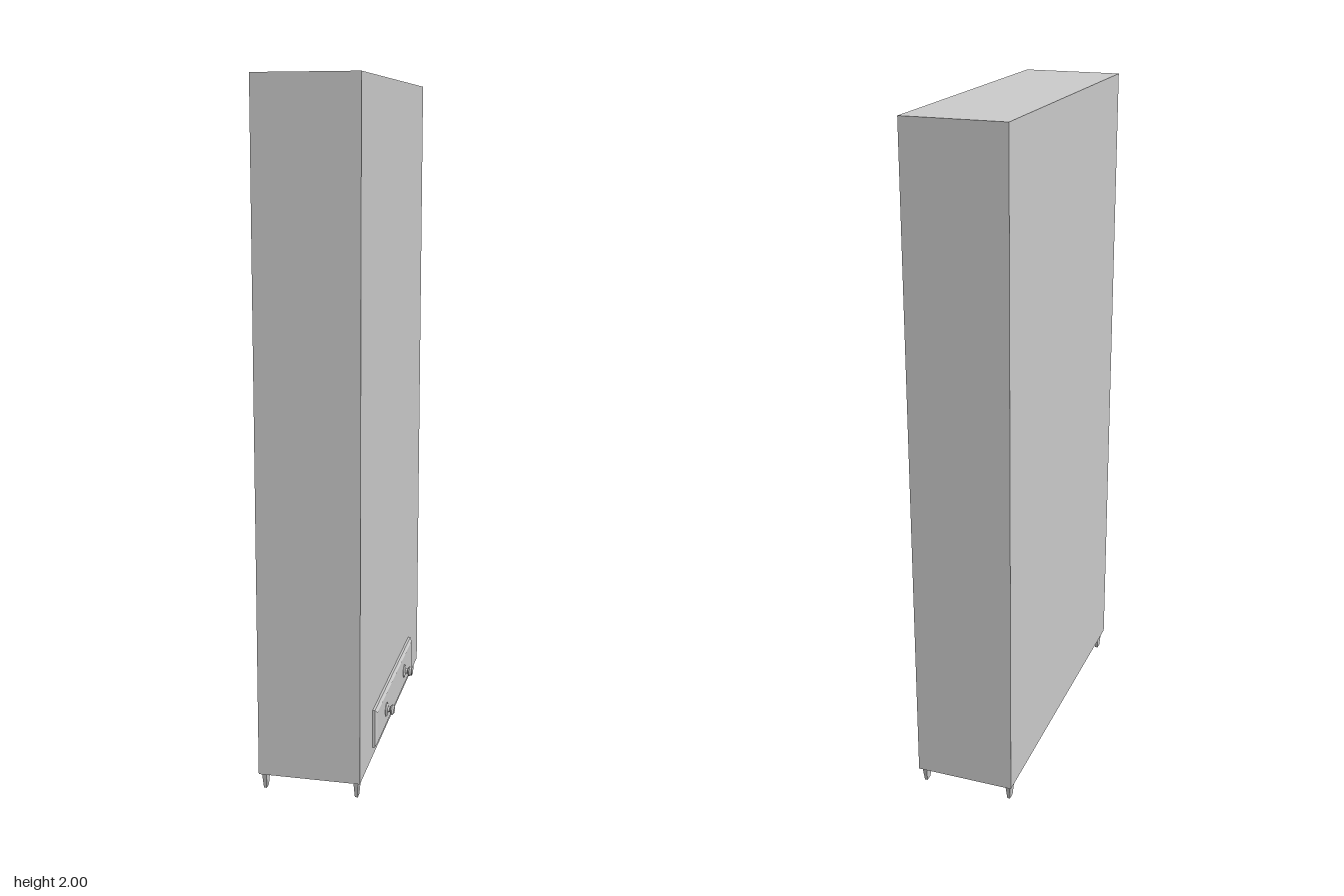
import * as THREE from 'three';

const W = 0.972, D = 0.296, LEG = 0.05, TOP = 2;

// Box whose +y (top) or +z (front) end is scaled to make a taper
function taperedBox(w, h, d, axis, taper) {
  const g = new THREE.BoxGeometry(w, h, d);
  const p = g.attributes.position;
  for (let i = 0; i < p.count; i++) {
    if (axis === 'y' && p.getY(i) < 0) {
      p.setX(i, p.getX(i) * taper[0]);
      p.setZ(i, p.getZ(i) * taper[1]);
    } else if (axis === 'z' && p.getZ(i) > 0) {
      p.setX(i, p.getX(i) * taper[0]);
      p.setY(i, p.getY(i) * taper[1]);
    }
  }
  g.computeVertexNormals();
  return g;
}

export function createModel() {
  const model = new THREE.Group();
  model.name = 'cabinet';
  const material = new THREE.MeshStandardMaterial({ color: 0xcccccc, flatShading: true });
  const add = (name, geometry, x, y, z) => {
    const mesh = new THREE.Mesh(geometry, material);
    mesh.name = name;
    mesh.position.set(x, y, z);
    model.add(mesh);
    return mesh;
  };

  // Tall cabinet body
  add('body', new THREE.BoxGeometry(W, TOP - LEG, D), 0, (TOP + LEG) / 2, 0);

  // Drawer front with chamfered rim
  const face = D / 2;
  add('drawerFrontBase', new THREE.BoxGeometry(0.612, 0.116, 0.007), 0, 0.137, face + 0.0035);
  add('drawerFrontBevel', taperedBox(0.612, 0.116, 0.006, 'z', [0.967, 0.83]), 0, 0.137, face + 0.01);

  // Round knobs: flange, neck and faceted head
  const knobProfile = [
    [0, 0], [0.022, 0], [0.022, 0.003], [0.009, 0.006], [0.008, 0.012],
    [0.015, 0.016], [0.016, 0.02], [0.011, 0.025], [0, 0.027],
  ].map(([r, y]) => new THREE.Vector2(r, y));
  const knob = new THREE.LatheGeometry(knobProfile, 10);
  knob.rotateX(Math.PI / 2);
  for (const s of [-1, 1]) add('knob', knob, s * 0.155, 0.135, face + 0.012);

  // Four slim tapered feet
  const foot = taperedBox(0.042, LEG, 0.014, 'y', [0.55, 0.6]);
  for (const sx of [-1, 1])
    for (const sz of [-1, 1]) add('foot', foot, sx * 0.456, LEG / 2, sz * 0.134);

  // The cabinet stands turned about the vertical axis
  model.rotation.y = 1.155;
  const root = new THREE.Group();
  root.name = 'turnedCabinet';
  root.add(model);
  return root;
}
